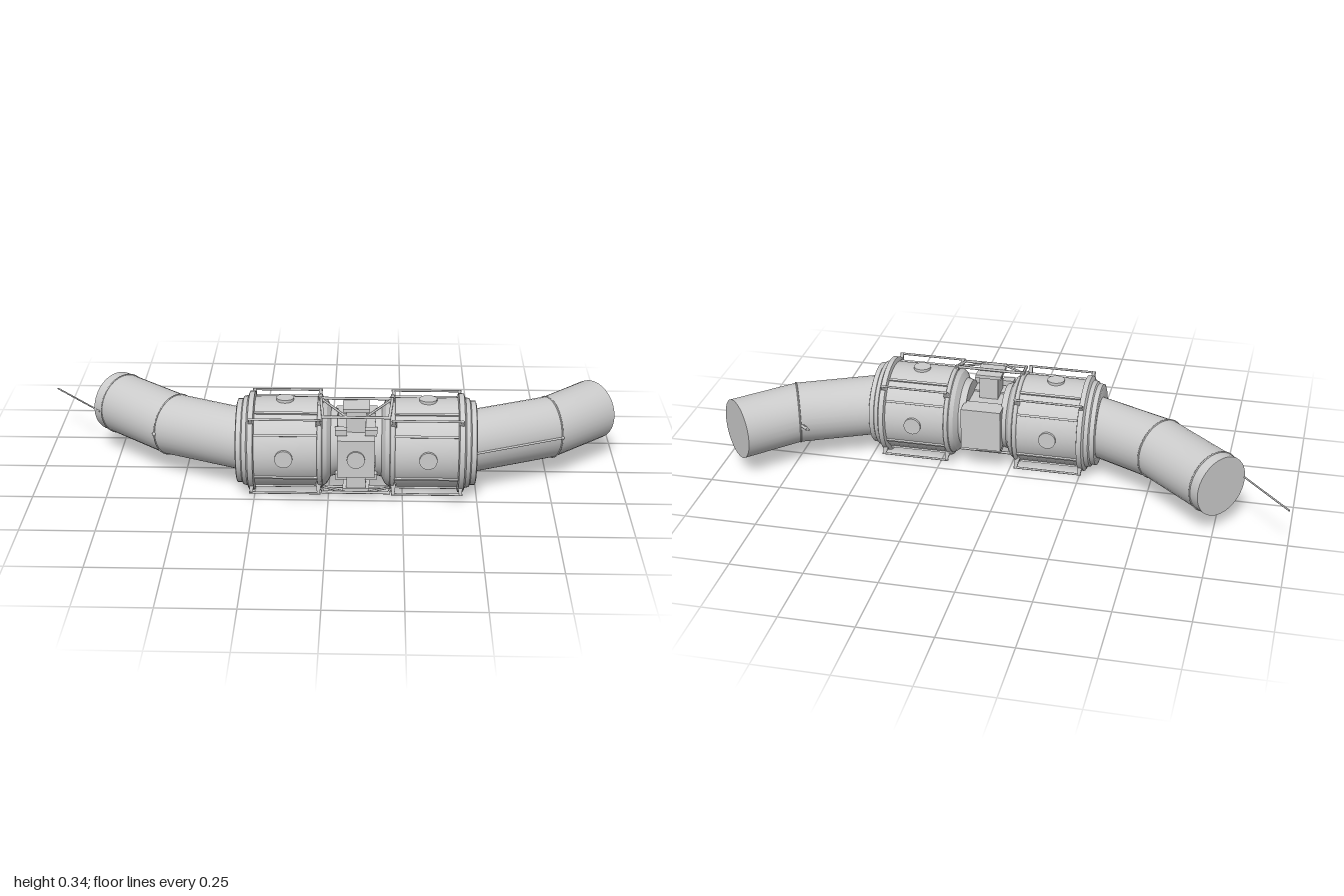
import * as THREE from 'three';
import { toCreasedNormals } from 'three/addons/utils/BufferGeometryUtils.js';

const MID_X = 0.093, MID_Y = 0.171, MID_Z = 0.136;
const mat = new THREE.MeshStandardMaterial({ color: 0xcccccc });
const V = (x, y, z) => new THREE.Vector3(x, y, z);

function add(parent, name, geo, x = 0, y = 0, z = 0) {
  const m = new THREE.Mesh(geo, mat);
  m.name = name;
  m.position.set(x, y, z);
  parent.add(m);
  return m;
}

// Straight round bar between two points
function rod(parent, name, a, b, r = 0.004) {
  const d = b.clone().sub(a);
  const m = add(parent, name, new THREE.CylinderGeometry(r, r, d.length(), 6));
  m.position.copy(a).addScaledVector(d, 0.5);
  m.quaternion.setFromUnitVectors(V(0, 1, 0), d.normalize());
  return m;
}

// One station of a bent pipe: [frontX, frontZ, backX, backZ] in plan
function ring([fx, fz, bx, bz], r, n, grow = 1) {
  const c = V((fx + bx) / 2, MID_Y, (fz + bz) / 2);
  const h = V((fx - bx) / 2, 0, (fz - bz) / 2);
  return Array.from({ length: n }, (_, j) => {
    const a = (j / n) * Math.PI * 2;
    return c.clone().addScaledVector(h, Math.cos(a) * grow).add(V(0, Math.sin(a) * r * grow, 0));
  });
}

// Mitred pipe, stations ordered by increasing x, closed at both ends
function pipeGeometry(stations, r, n = 32) {
  const rings = stations.map((s) => ring(s, r, n));
  const pts = rings.flat(), idx = [];
  const last = rings.length - 1, c0 = pts.length;
  for (let i = 0; i < last; i++) for (let j = 0; j < n; j++) {
    const a = i * n + j, b = i * n + (j + 1) % n;
    idx.push(a, a + n, b, b, a + n, b + n);
  }
  for (const i of [0, last]) {
    const [fx, fz, bx, bz] = stations[i];
    pts.push(V((fx + bx) / 2, MID_Y, (fz + bz) / 2));
  }
  for (let j = 0; j < n; j++) {
    const k = (j + 1) % n;
    idx.push(c0, j, k, c0 + 1, last * n + k, last * n + j);
  }
  const g = new THREE.BufferGeometry().setFromPoints(pts);
  g.setIndex(idx);
  return toCreasedNormals(g, 0.4);
}

// Thin band round a pipe at one station
function hoop(parent, name, station, r) {
  const curve = new THREE.CatmullRomCurve3(ring(station, r, 24), true);
  add(parent, name, new THREE.TubeGeometry(curve, 48, 0.003, 5, true));
}

// Drum lying along local +x, inner end towards the middle
function makeDrum(name) {
  const g = new THREE.Group();
  g.name = name;
  const profile = [[0, 0.063], [0.112, 0.063], [0.118, 0.085], [0.142, 0.098], [0.152, 0.112],
    [0.152, 0.34], [0.168, 0.343], [0.168, 0.36], [0.154, 0.366], [0.15, 0.38],
    [0.143, 0.384], [0.143, 0.4], [0.135, 0.403], [0, 0.403]].map((p) => new THREE.Vector2(...p));
  add(g, 'drumShell', toCreasedNormals(new THREE.LatheGeometry(profile, 32), 0.4)).rotation.z = -Math.PI / 2;
  add(g, 'innerRim', new THREE.TorusGeometry(0.154, 0.008, 8, 32), 0.122).rotation.y = Math.PI / 2;

  // Each spoke is a group turned about the drum axis, its local +y pointing outwards
  const spoke = (deg) => {
    const s = new THREE.Group();
    s.name = 'drumSpoke';
    s.rotation.x = THREE.MathUtils.degToRad(deg);
    g.add(s);
    return s;
  };
  for (let q = 0; q < 4; q++) {
    const window = spoke(q * 90);
    add(window, 'porthole', toCreasedNormals(new THREE.CylinderGeometry(0.03, 0.03, 0.02, 20), 0.5), 0.24, 0.149, 0);
    for (const off of [-30, 30])
      add(spoke(q * 90 + off), 'longitudinalRib', new THREE.BoxGeometry(0.22, 0.009, 0.008), 0.23, 0.153, 0);

    // Handrail with a wedge-shaped stand at each end
    const rail = spoke(q * 90 + 45);
    rod(rail, 'handrail', V(0.118, 0.188, 0), V(0.357, 0.188, 0), 0.004);
    for (const x of [0.125, 0.35]) {
      const stand = add(rail, 'handrailStand', new THREE.CylinderGeometry(0.006, 0.014, 0.042, 4), x, 0.168, 0);
      stand.rotation.y = Math.PI / 4;
    }
  }
  return g;
}

// Coupling between the two drums
function makeCoupling() {
  const g = new THREE.Group();
  g.name = 'coupling';
  add(g, 'rearHousing', new THREE.BoxGeometry(0.14, 0.15, 0.07), 0, 0, -0.1);
  add(g, 'passage', new THREE.BoxGeometry(0.13, 0.12, 0.13), 0, 0, -0.02);
  add(g, 'frontHatchBox', new THREE.BoxGeometry(0.125, 0.132, 0.11), 0, 0, 0.095);
  const hatch = add(g, 'frontHatch', toCreasedNormals(new THREE.CylinderGeometry(0.03, 0.03, 0.012, 20), 0.5), 0, 0, 0.152);
  hatch.rotation.x = Math.PI / 2;
  add(g, 'column', new THREE.BoxGeometry(0.066, 0.3, 0.08), 0, 0, 0.035);
  for (const s of [-1, 1]) {
    add(g, 'columnCap', new THREE.BoxGeometry(0.09, 0.012, 0.09), 0, s * 0.145, 0.035);
    // Truss over the top and bottom of the gap
    rod(g, 'trussBar', V(-0.125, s * 0.163, 0.015), V(0.125, s * 0.163, 0.015), 0.005);
    rod(g, 'trussBar', V(-0.115, s * 0.137, 0.115), V(0.115, s * 0.137, 0.115), 0.005);
    for (const t of [-1, 1]) {
      rod(g, 'trussEnd', V(t * 0.12, s * 0.163, 0.015), V(t * 0.11, s * 0.137, 0.115), 0.005);
      rod(g, 'trussBrace', V(t * 0.12, s * 0.163, 0.015), V(t * 0.03, s * 0.137, 0.115));
      add(g, 'trussFoot', new THREE.BoxGeometry(0.014, 0.03, 0.02), t * 0.118, s * 0.15, 0.015);
      add(g, 'sideClamp', new THREE.BoxGeometry(0.04, 0.02, 0.03), t * 0.05, s * 0.08, 0.1);
    }
  }
  return g;
}

export function createModel() {
  const model = new THREE.Group();
  model.name = 'bentTubeStation';

  const core = new THREE.Group();
  core.name = 'core';
  core.position.set(MID_X, MID_Y, MID_Z);
  model.add(core);
  const right = makeDrum('rightDrum');
  right.rotation.y = Math.PI;
  core.add(makeDrum('leftDrum'), right, makeCoupling());

  // Bent pipes leading away and back from each drum
  const capR = [-0.837, -0.12, -0.698, -0.28], elbowR = [-0.6, 0.094, -0.473, -0.078];
  const elbowL = [0.794, 0.088, 0.714, -0.1], capL = [0.992, -0.094, 0.853, -0.243];
  add(model, 'rightPipe', pipeGeometry([capR, elbowR, [-0.28, 0.238, -0.28, 0.022]], 0.106));
  add(model, 'leftPipe', pipeGeometry([[0.47, 0.236, 0.47, 0.014], elbowL, capL], 0.106));
  hoop(model, 'rightElbowBand', elbowR, 0.106);
  hoop(model, 'leftElbowBand', elbowL, 0.106);
  hoop(model, 'rightEndBand', [-0.808, -0.094, -0.669, -0.254], 0.106);

  // Seam rail, antenna and small fittings
  rod(model, 'seamRail', V(0.49, MID_Y, 0.229), V(0.794, MID_Y, 0.089), 0.004);
  rod(model, 'antenna', V(-0.815, MID_Y, -0.1), V(-0.998, MID_Y, -0.307), 0.003);
  rod(model, 'hookStem', V(0.72, MID_Y, -0.09), V(0.685, MID_Y, -0.12), 0.005);
  rod(model, 'hookTip', V(0.71, MID_Y, -0.09), V(0.675, MID_Y, -0.125), 0.004);
  add(model, 'elbowStud', new THREE.SphereGeometry(0.007, 8, 6), -0.6, MID_Y, 0.094);
  add(model, 'elbowStud', new THREE.SphereGeometry(0.007, 8, 6), 0.794, MID_Y, 0.088);
  return model;
}
